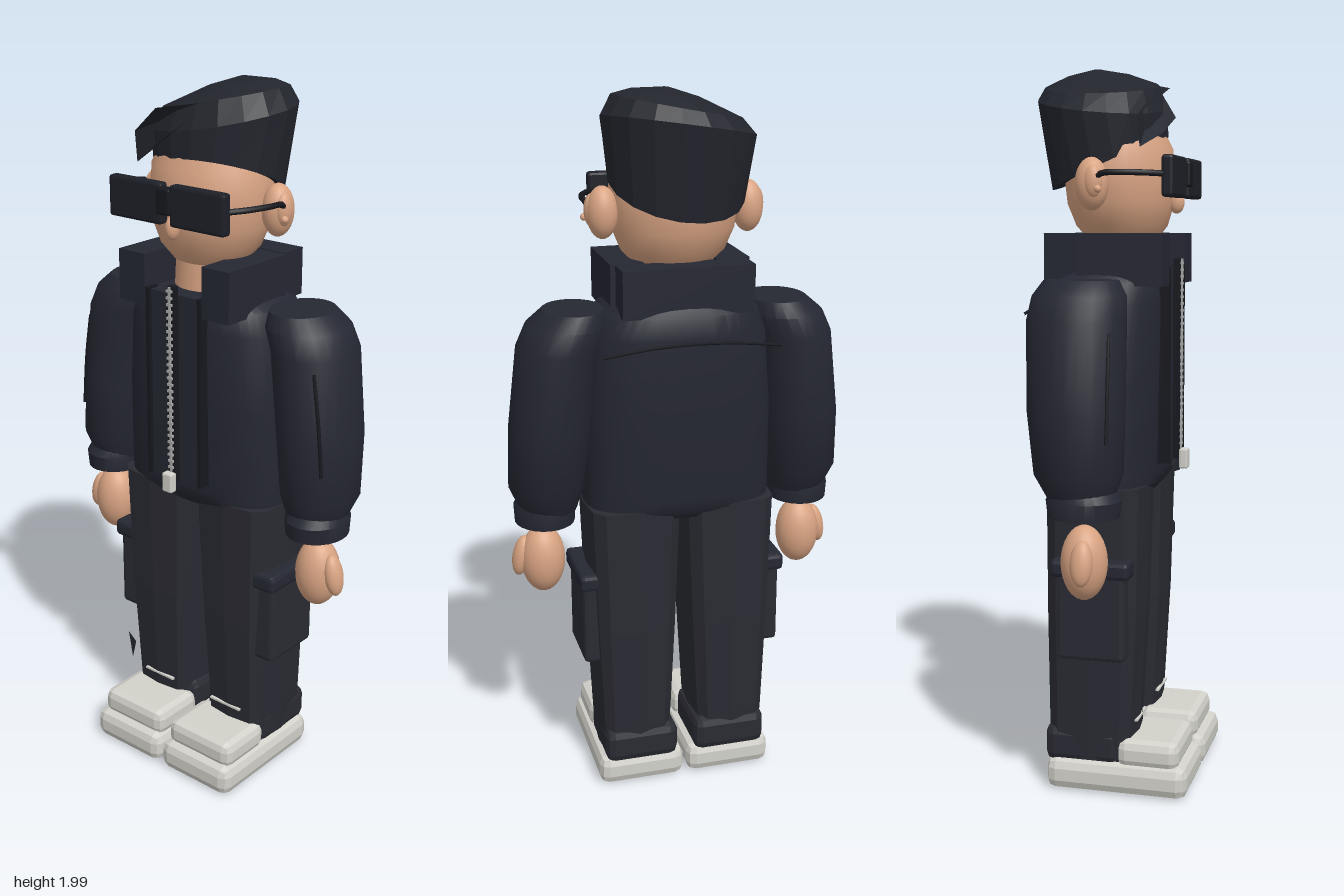
import * as THREE from 'three';
import { toCreasedNormals } from 'three/addons/utils/BufferGeometryUtils.js';
import { RoundedBoxGeometry } from 'three/addons/geometries/RoundedBoxGeometry.js';

const material = (name, color, extra = {}) => {
  const m = new THREE.MeshStandardMaterial({ color, ...extra });
  m.name = name;
  return m;
};

const flat = (geo) => {
  const g = geo.index ? geo.toNonIndexed() : geo;
  g.computeVertexNormals();
  return g;
};

// Closed loft through rings [cx, y, cz, rx, rz, tiltX, tiltZ], listed from bottom to top.
function loft(rings, n, power = 2, crease = 0.6) {
  const pos = [], idx = [];
  const bend = (v) => Math.sign(v) * Math.abs(v) ** (2 / power);
  for (const [cx, y, cz, rx, rz, tx = 0, tz = 0] of rings) {
    for (let j = 0; j < n; j++) {
      const t = (j / n) * Math.PI * 2, c = bend(Math.cos(t)), s = bend(Math.sin(t));
      pos.push(cx + rx * c, y + tx * c + tz * s, cz + rz * s);
    }
  }
  const last = (rings.length - 1) * n, low = rings.length * n, high = low + 1;
  for (const r of [rings[0], rings[rings.length - 1]]) pos.push(r[0], r[1], r[2]);
  for (let i = 0; i < rings.length - 1; i++) {
    for (let j = 0; j < n; j++) {
      const a = i * n + j, b = i * n + (j + 1) % n;
      idx.push(a, a + n, b, b, a + n, b + n);
    }
  }
  for (let j = 0; j < n; j++) {
    const k = (j + 1) % n;
    idx.push(low, j, k, high, last + k, last + j);
  }
  const g = new THREE.BufferGeometry();
  g.setAttribute('position', new THREE.Float32BufferAttribute(pos, 3));
  g.setIndex(idx);
  return crease ? toCreasedNormals(g, crease) : flat(g);
}

// Box given by its limits, with an optional chamfer.
function block(x0, x1, y0, y1, z0, z1, chamfer = 0) {
  const w = x1 - x0, h = y1 - y0, d = z1 - z0;
  const g = chamfer ? flat(new RoundedBoxGeometry(w, h, d, 1, chamfer)) : new THREE.BoxGeometry(w, h, d);
  return g.translate((x0 + x1) / 2, (y0 + y1) / 2, (z0 + z1) / 2);
}

const ellipsoid = (x, y, z, rx, ry, rz, tilt = 0) =>
  new THREE.SphereGeometry(1, 24, 16).scale(rx, ry, rz).rotateZ(tilt).translate(x, y, z);

const tube = (points, r, n = 16) => new THREE.TubeGeometry(
  new THREE.CatmullRomCurve3(points.map((p) => new THREE.Vector3(...p))), n, r, 6);

// Thin polygon through 3D points, fanned from the first.
function sheet(points) {
  const g = new THREE.BufferGeometry();
  const idx = [];
  for (let i = 1; i < points.length - 1; i++) idx.push(0, i, i + 1);
  g.setAttribute('position', new THREE.Float32BufferAttribute(points.flat(), 3));
  g.setIndex(idx);
  return flat(g);
}

export function createModel() {
  const model = new THREE.Group();
  const jacket = material('jacket navy', 0x252732);
  const cloth = material('trouser charcoal', 0x2a2b33);
  const hairMat = material('hair black', 0x23252d, { side: THREE.DoubleSide });
  const trim = material('dark trim', 0x17181e);
  const lens = material('glasses black', 0x1e2028);
  const skin = material('skin', 0xd9a483);
  const shoe = material('shoe white', 0xd2d1ca);
  const metal = material('zip metal', 0xa9a9aa);

  const add = (name, geo, mat, parent = model) => {
    const mesh = new THREE.Mesh(geo, mat);
    mesh.name = name;
    parent.add(mesh);
    return mesh;
  };

  // Paired parts, one group per side
  for (const s of [1, -1]) {
    const side = new THREE.Group();
    side.name = s > 0 ? 'leftSide' : 'rightSide';
    model.add(side);
    const put = (name, geo, mat) => add(name, geo, mat, side);
    const X = (a, b) => [Math.min(s * a, s * b), Math.max(s * a, s * b)];

    // Shoes
    put('shoeSole', block(...X(0.005, 0.258), 0.01, 0.1, -0.16, 0.24, 0.028), shoe);
    put('shoeToe', block(...X(0.015, 0.245), 0.085, 0.165, 0.04, 0.215, 0.025), shoe);
    put('shoeHeel', block(...X(0.025, 0.24), 0.085, 0.19, -0.167, 0.05, 0.025), cloth);
    put('ankleStitch', block(...X(0.075, 0.185), 0.203, 0.209, 0.08, 0.089), shoe);

    // Trouser leg and cargo pocket
    put('trouserLeg', loft([
      [s * 0.14, 0.1, -0.04, 0.1, 0.12],
      [s * 0.14, 0.2, -0.04, 0.105, 0.125],
      [s * 0.138, 0.5, -0.033, 0.119, 0.134],
      [s * 0.136, 0.87, -0.028, 0.133, 0.138]], 12, 4, 0), cloth);
    put('cargoPocket', block(...X(0.22, 0.29), 0.4, 0.66, -0.115, 0.075, 0.012), cloth);
    put('pocketFlap', block(...X(0.22, 0.3), 0.63, 0.68, -0.13, 0.09, 0.012), jacket);

    // Sleeve and cuff
    put('sleeve', loft([
      [s * 0.365, 0.86, -0.02, 0.08, 0.085],
      [s * 0.37, 0.93, -0.025, 0.105, 0.118],
      [s * 0.357, 1.1, -0.035, 0.113, 0.13],
      [s * 0.33, 1.33, -0.04, 0.112, 0.132],
      [s * 0.305, 1.39, -0.04, 0.11, 0.125],
      [s * 0.285, 1.43, -0.04, 0.083, 0.1]], 24), jacket);
    put('cuff', loft([
      [s * 0.375, 0.82, -0.01, 0.084, 0.095],
      [s * 0.375, 0.865, -0.01, 0.086, 0.1],
      [s * 0.37, 0.895, -0.015, 0.075, 0.085]], 24), jacket);
    put('sleeveFold', tube([[s * 0.4, 1.3, 0.064], [s * 0.42, 1.17, 0.066],
      [s * 0.435, 1.02, 0.066]], 0.005), trim);

    // Hand
    put('hand', ellipsoid(s * 0.383, 0.7, -0.007, 0.063, 0.1, 0.062), skin);
    put('thumb', ellipsoid(s * 0.443, 0.71, 0.002, 0.025, 0.06, 0.03, s * 0.2), skin);

    // Collar side and jacket edge
    put('collarSide', block(...X(0.1, 0.192), 1.41, 1.55, -0.085, 0.155), jacket);
    put('frontEdge', block(...X(0.085, 0.097), 0.92, 1.46, 0.12, 0.156), trim);

    // Ear
    put('ear', ellipsoid(s * 0.2, 1.68, -0.035, 0.042, 0.07, 0.045), skin);
    put('innerEar', ellipsoid(s * 0.225, 1.685, -0.025, 0.022, 0.045, 0.026), skin);
    put('earStud', ellipsoid(s * 0.243, 1.665, -0.007, 0.01, 0.01, 0.01), skin);

    // Glasses
    put('lens', block(...X(0.015, 0.196), 1.645, 1.755, 0.152, 0.184, 0.008), lens);
    put('glassesArm', tube([[s * 0.185, 1.705, 0.16], [s * 0.215, 1.707, 0.115],
      [s * 0.237, 1.708, 0.05], [s * 0.238, 1.705, 0], [s * 0.232, 1.69, -0.02]], 0.008), trim);
  }

  // Jacket body with a gathered hem
  add('jacketBody', loft([
    [0, 0.835, -0.025, 0.215, 0.12],
    [0, 0.865, -0.025, 0.265, 0.145],
    [0, 0.9, -0.025, 0.265, 0.15],
    [0, 1.15, -0.028, 0.262, 0.158],
    [0, 1.36, -0.03, 0.245, 0.165],
    [0, 1.42, -0.03, 0.22, 0.16],
    [0, 1.455, -0.025, 0.17, 0.14]], 40, 2.8), jacket);
  add('frontPanel', block(-0.09, 0.09, 0.92, 1.455, 0.08, 0.146), jacket);
  add('collarBack', block(-0.18, 0.18, 1.42, 1.55, -0.175, -0.092), jacket);
  add('backSeam', tube([[-0.245, 1.335, -0.213], [-0.12, 1.35, -0.213], [0, 1.355, -0.213],
    [0.12, 1.35, -0.213], [0.245, 1.335, -0.213]], 0.004), trim);

  // Zip
  add('zipTape', block(-0.012, 0.012, 0.92, 1.48, 0.146, 0.166), trim);
  for (let i = 0; i < 28; i++) {
    const y = 0.96 + i * 0.0187;
    add('zipTooth', block(-0.009, 0.009, y, y + 0.007, 0.164, 0.172), metal);
  }
  add('zipChain', block(-0.003, 0.003, 0.95, 1.48, 0.164, 0.171), metal);
  add('zipPull', block(-0.017, 0.017, 0.893, 0.95, 0.165, 0.19, 0.005), shoe);

  // Neck, head and nose
  add('neck', new THREE.CylinderGeometry(0.095, 0.105, 0.2, 24).translate(0, 1.51, -0.01), skin);
  add('head', loft([
    [0, 1.508, 0, 0.05, 0.045],
    [0, 1.53, 0, 0.105, 0.093],
    [0, 1.57, -0.003, 0.143, 0.126],
    [0, 1.63, -0.006, 0.168, 0.147],
    [0, 1.7, -0.008, 0.176, 0.153],
    [0, 1.78, -0.01, 0.172, 0.147],
    [0, 1.87, -0.02, 0.13, 0.11]], 32, 2, 0.9), skin);
  add('nose', ellipsoid(0, 1.635, 0.152, 0.018, 0.032, 0.022), skin);
  add('glassesBridge', block(-0.022, 0.022, 1.675, 1.745, 0.158, 0.194, 0.006), trim);

  // Hair: slanted crown that drops low at the back
  add('hair', loft([
    [0, 1.74, -0.037, 0.184, 0.16, 0.018, 0.07],
    [0, 1.9, -0.058, 0.207, 0.178, 0.032, -0.02],
    [0.005, 1.95, -0.06, 0.172, 0.158, 0.033, -0.005],
    [0.04, 1.985, -0.08, 0.09, 0.085, 0.012, 0],
    [0.045, 2.0, -0.085, 0.012, 0.012]], 18, 2, 0), hairMat);
  add('fringe', sheet([[0.07, 1.955, 0.08], [-0.06, 1.935, 0.145], [-0.19, 1.855, 0.085],
    [-0.178, 1.775, 0.09], [-0.1, 1.815, 0.135], [-0.03, 1.86, 0.155]]), hairMat);

  // Loose shard beside the ankle
  add('trouserShard', sheet([[-0.235, 0.325, 0.11], [-0.22, 0.24, 0.11], [-0.205, 0.3, 0.11]]), hairMat);

  return model;
}
